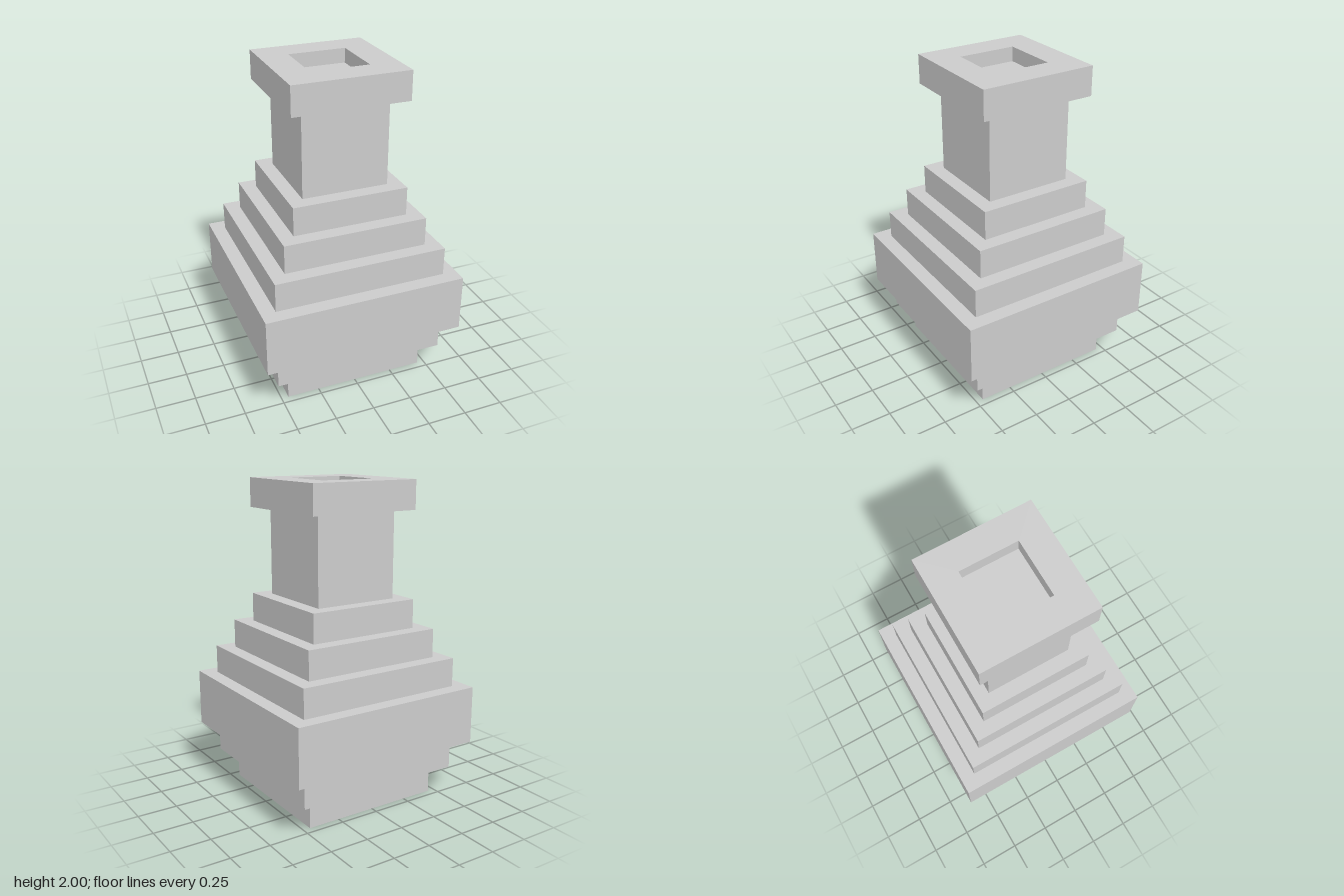
import * as THREE from 'three';

const U = 2 / 11; // one step of the stepped outline

export function createModel() {
  const group = new THREE.Group();
  group.name = 'steppedVase';
  const material = new THREE.MeshStandardMaterial({ color: 0xcccccc, flatShading: true });

  const add = (name, geometry) => {
    const mesh = new THREE.Mesh(geometry, material);
    mesh.name = name;
    group.add(mesh);
    return mesh;
  };

  // Square tiers: name, width, bottom, top (in steps)
  const tiers = [
    ['foot', 5, 0, 1],
    ['lowerBody', 6, 1, 2],
    ['belly', 7, 2, 4],
    ['lowerShoulder', 6, 4, 5],
    ['middleShoulder', 5, 5, 6],
    ['upperShoulder', 4, 6, 7],
    ['neck', 3, 7, 10],
    ['mouthFloor', 2, 10, 10.5],
  ];
  for (const [name, width, bottom, top] of tiers) {
    const geometry = new THREE.BoxGeometry(width * U, (top - bottom) * U, width * U);
    add(name, geometry).position.y = ((bottom + top) / 2) * U;
  }

  // Square rim with an open mouth
  const square = (half) => [[-1, -1], [1, -1], [1, 1], [-1, 1]]
    .map(([x, y]) => new THREE.Vector2(x * half, y * half));
  const lip = new THREE.Shape(square(2 * U));
  lip.holes.push(new THREE.Path(square(U)));
  const rim = new THREE.ExtrudeGeometry(lip, { depth: U, bevelEnabled: false });
  rim.rotateX(-Math.PI / 2);
  add('rim', rim).position.y = 10 * U;

  return group;
}
